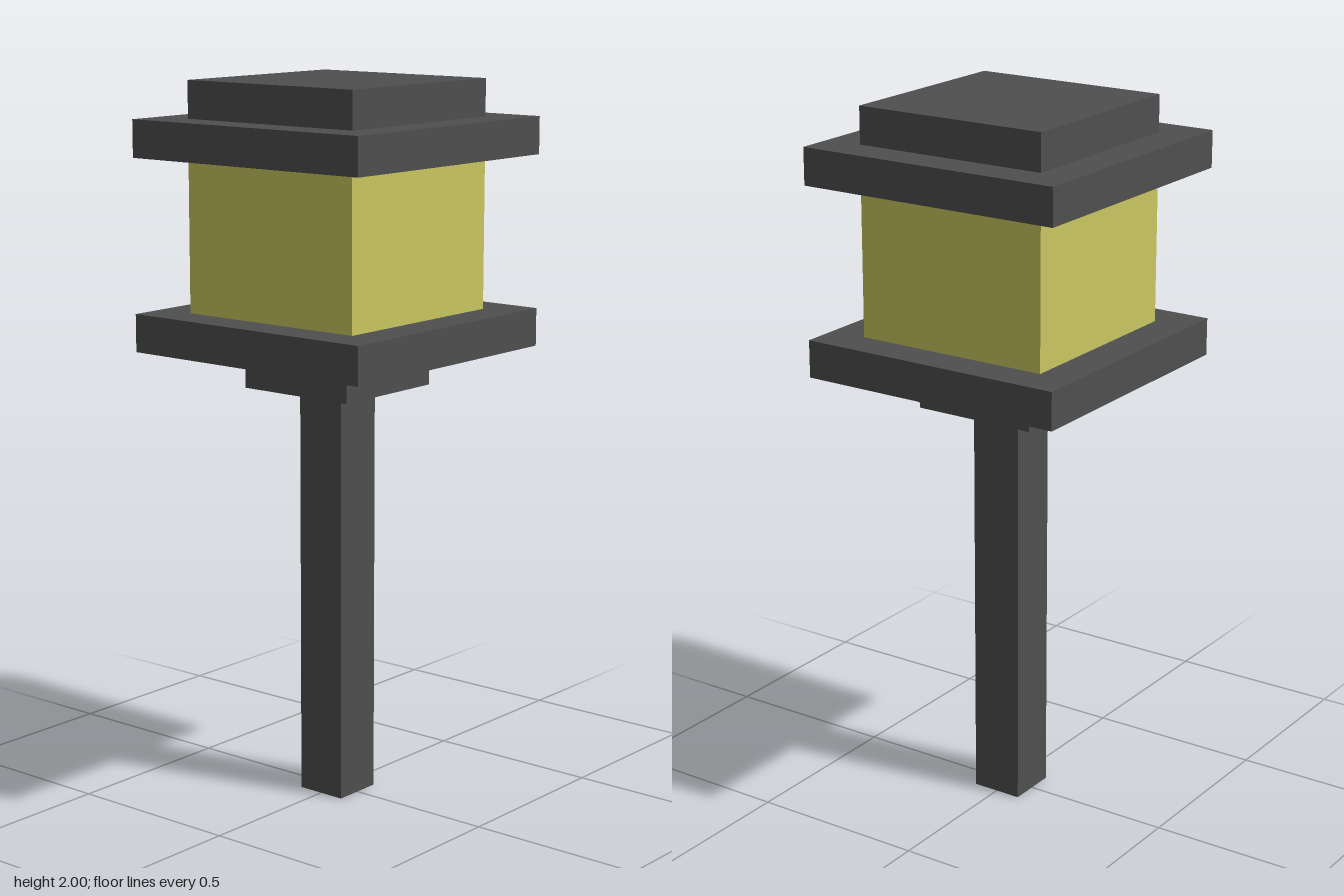
import * as THREE from 'three';

export function createModel() {
  const lamp = new THREE.Group();
  lamp.name = 'gardenLantern';

  const darkMetal = new THREE.MeshStandardMaterial({ color: 0x4f4f4f });
  darkMetal.name = 'dark metal';
  const yellowGlass = new THREE.MeshStandardMaterial({ color: 0xcac761 });
  yellowGlass.name = 'yellow glass';

  // Square block of a given width, between two heights
  function addTier(name, width, bottom, top, material) {
    const mesh = new THREE.Mesh(new THREE.BoxGeometry(width, top - bottom, width), material);
    mesh.name = name;
    mesh.position.y = (bottom + top) / 2;
    lamp.add(mesh);
  }

  // Stacked from the ground up
  addTier('post', 0.146, 0, 1.162, darkMetal);
  addTier('collar', 0.358, 1.162, 1.266, darkMetal);
  addTier('basePlate', 0.778, 1.266, 1.371, darkMetal);
  addTier('lanternGlass', 0.568, 1.371, 1.794, yellowGlass);
  addTier('roofPlate', 0.778, 1.794, 1.897, darkMetal);
  addTier('roofCap', 0.568, 1.897, 2, darkMetal);

  return lamp;
}
